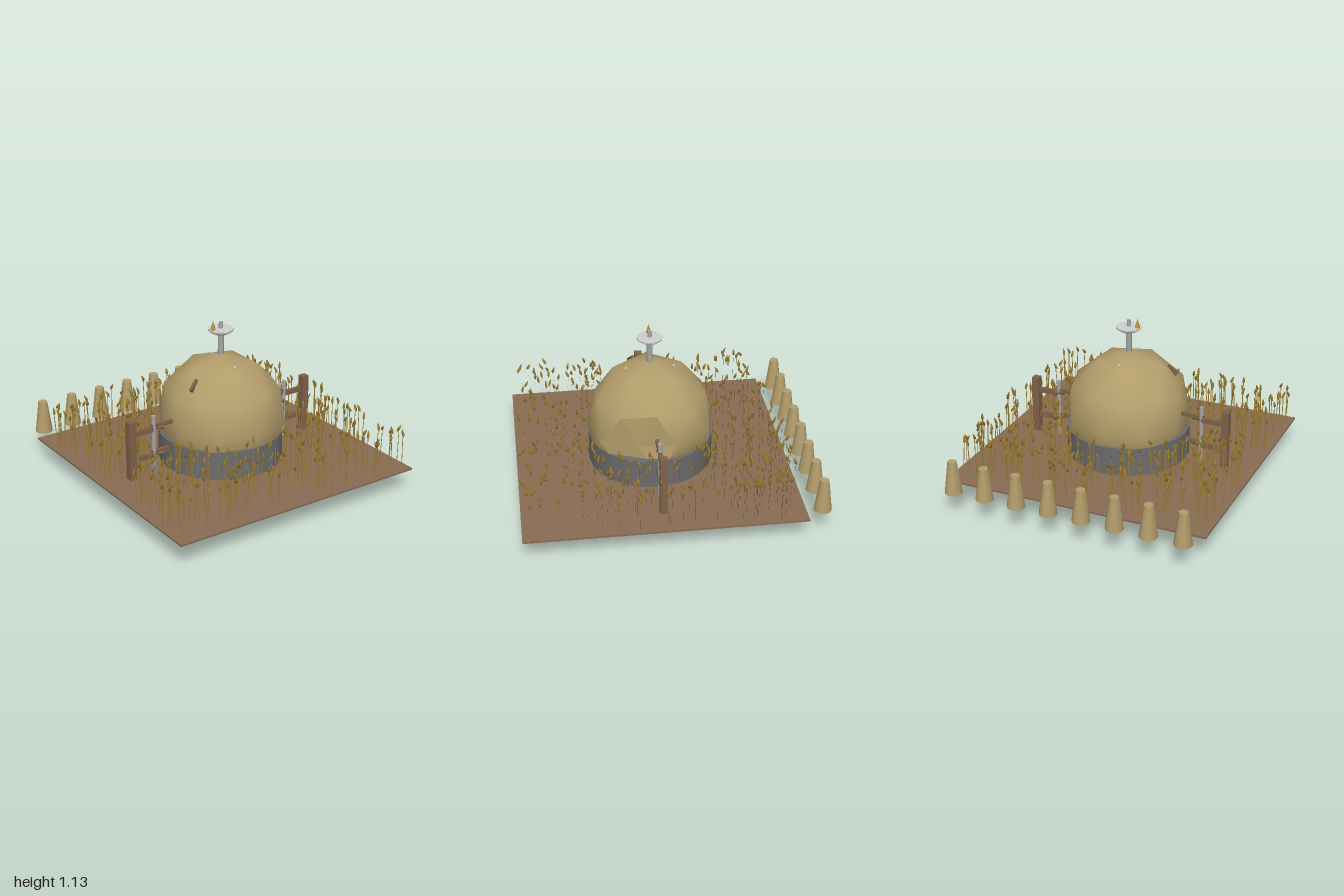
import * as THREE from 'three';
import { mergeGeometries, toCreasedNormals } from 'three/addons/utils/BufferGeometryUtils.js';

const CZ = 0.085;      // z of the dome axis
const GROUND = 0.168;  // top of the field

const mat = (name, color, side = THREE.FrontSide) => {
  const m = new THREE.MeshStandardMaterial({ color, side });
  m.name = name;
  return m;
};

function seeded(seed) {
  return () => {
    seed = (seed * 16807) % 2147483647;
    return seed / 2147483647;
  };
}

// Pole-up icosphere with a few corners pushed in or out; round normals, flat where dented
function domeGeometry() {
  const geo = new THREE.IcosahedronGeometry(0.445, 1);
  geo.rotateZ(Math.atan(2 / (1 + Math.sqrt(5))));
  const dir = (azimuth, polar) => new THREE.Vector3().setFromSphericalCoords(
    1, THREE.MathUtils.degToRad(polar), THREE.MathUtils.degToRad(90 - azimuth));
  const pushes = [
    [dir(18, 90), 0.84], [dir(-18, 90), 0.92], [dir(162, 90), 0.94], [dir(-162, 90), 0.93],
    [dir(90, 90), 0.97], [dir(-90, 90), 0.95], [dir(180, 63.4), 0.93],
    [dir(108, 63.4), 0.95], [dir(-108, 63.4), 0.97],
    [dir(0, 148.3), 1.09], [dir(144, 148.3), 0.97], [dir(-144, 148.3), 0.97],
    [dir(72, 148.3), 0.97], [dir(-72, 148.3), 1.02],
  ];
  const p = geo.attributes.position;
  const n = geo.attributes.normal;
  const corners = [new THREE.Vector3(), new THREE.Vector3(), new THREE.Vector3()];
  const u = new THREE.Vector3();
  const face = new THREE.Vector3();
  for (let i = 0; i < p.count; i += 3) {
    corners.forEach((c, j) => {
      c.fromBufferAttribute(p, i + j);
      u.copy(c).normalize();
      n.setXYZ(i + j, u.x, u.y, u.z);
      for (const [d, k] of pushes) if (u.dot(d) > 0.985) c.multiplyScalar(k);
      p.setXYZ(i + j, c.x, c.y, c.z);
    });
    THREE.Triangle.getNormal(...corners, face);
    u.copy(corners[0]).add(corners[1]).add(corners[2]).normalize();
    if (face.angleTo(u) > 0.2) {
      for (let j = 0; j < 3; j++) n.setXYZ(i + j, face.x, face.y, face.z);
    }
  }
  return geo;
}

export function createModel() {
  const root = new THREE.Group();
  root.name = 'domeInField';

  const sand = mat('sandstone', 0xb39d6b);
  const soil = mat('soil', 0x886b54);
  const iron = mat('darkIron', 0x6c6c6c);
  const steel = mat('steel', 0xa6a6a6);
  const pale = mat('paleMetal', 0xcfcfcf);
  const wood = mat('wood', 0x80614a);
  const gold = mat('gold', 0xb8943a);
  const grain = mat('grain', 0x9c7c30);
  const straw = mat('straw', 0x967a34, THREE.DoubleSide);

  const add = (name, geo, material, x = 0, y = 0, z = CZ, parent = root) => {
    const mesh = new THREE.Mesh(geo, material);
    mesh.name = name;
    mesh.position.set(x, y, z);
    parent.add(mesh);
    return mesh;
  };

  // Field slab
  add('field', new THREE.BoxGeometry(1.83, 0.013, 1.83), soil, 0, GROUND - 0.0065);

  // Stone dome, standing in an iron drum that has settled slightly to one side
  add('dome', domeGeometry(), sand, 0, 0.45);
  const drum = add('drum', new THREE.CylinderGeometry(0.42, 0.42, 0.21, 24), iron, 0, 0.2602);
  drum.rotation.set(-0.004, 0, -0.004);

  // Mast with dish, knob and small gold spike
  add('mast', new THREE.CylinderGeometry(0.02, 0.02, 0.18, 12), steel, 0, 0.96);
  const dishProfile = [[0, 1.034], [0.055, 1.037], [0.084, 1.056], [0.086, 1.068], [0, 1.072]];
  const dish = new THREE.LatheGeometry(dishProfile.map(([r, y]) => new THREE.Vector2(r, y)), 12);
  add('dish', toCreasedNormals(dish, 0.5), pale);
  add('mastKnob', new THREE.CylinderGeometry(0.013, 0.016, 0.05, 8), steel, 0, 1.09);
  add('spike', new THREE.ConeGeometry(0.018, 0.065, 6), gold, -0.062, 1.1);

  // Details fixed to the dome
  const hatch = add('hatchPlank', new THREE.BoxGeometry(0.085, 0.05, 0.018), wood, -0.272, 0.752, 0.18);
  hatch.rotation.set(0, 0.4, 0.7);
  for (const s of [-1, 1]) add('stud', new THREE.SphereGeometry(0.009, 8, 6), pale, 0, 0.845, CZ + s * 0.16);

  // Timber side frames with a metal rod
  for (const s of [-1, 1]) {
    const frame = new THREE.Group();
    frame.name = s > 0 ? 'leftFrame' : 'rightFrame';
    root.add(frame);
    add('post', new THREE.BoxGeometry(0.05, 0.41, 0.05), wood, s * 0.703, 0.37, CZ, frame);
    for (const y of [0.3, 0.485]) {
      add('outerRail', new THREE.BoxGeometry(0.16, 0.036, 0.022), wood, s * 0.605, y - 0.004, CZ, frame);
      add('innerRail', new THREE.BoxGeometry(0.17, 0.026, 0.022), wood, s * 0.46, y + 0.017, CZ, frame);
      const clamp = add('clamp', new THREE.CylinderGeometry(0.007, 0.014, 0.1, 6), wood, s * 0.51, y, CZ, frame);
      clamp.rotation.set(0, 0.3 * s, Math.PI / 2);
    }
    add('rod', new THREE.CylinderGeometry(0.015, 0.015, 0.41, 10), steel, s * 0.53, 0.37, CZ, frame);
  }

  // Row of tapered bollards behind the field
  for (let i = 0; i < 8; i++) {
    add('bollard', toCreasedNormals(new THREE.CylinderGeometry(0.031, 0.06, 0.225, 10), 0.7), sand,
      -0.81 + i * 0.2286, 0.268, -0.94);
  }

  // Grain stalks: flat ribbon stems with leaning pointed heads
  const rnd = seeded(4711);
  const stems = [];
  const heads = [];
  const headShape = new THREE.LatheGeometry(
    [[0, -0.03], [0.0095, -0.01], [0.007, 0.012], [0, 0.032]].map(([r, y]) => new THREE.Vector2(r, y)), 5);
  while (heads.length < 420) {
    const x = (rnd() * 2 - 1) * 0.89;
    const z = CZ + (rnd() * 2 - 1) * 0.89;
    if (Math.hypot(x, z - CZ) < 0.44) continue;
    const h = 0.2 + rnd() * 0.065;
    const lean = (rnd() - 0.5) * 0.18;
    const stem = new THREE.PlaneGeometry(0.006, h);
    stem.translate(0, h / 2, 0).rotateZ(lean).translate(x, GROUND, z);
    stems.push(stem);
    const head = headShape.clone();
    head.rotateX((rnd() - 0.5) * 1.2).rotateZ(lean + (rnd() - 0.5) * 0.9);
    head.translate(x - Math.sin(lean) * h, GROUND + Math.cos(lean) * h + 0.016, z);
    heads.push(head);
  }
  add('grainStems', mergeGeometries(stems), straw, 0, 0, 0);
  add('grainHeads', mergeGeometries(heads), grain, 0, 0, 0);

  return root;
}
